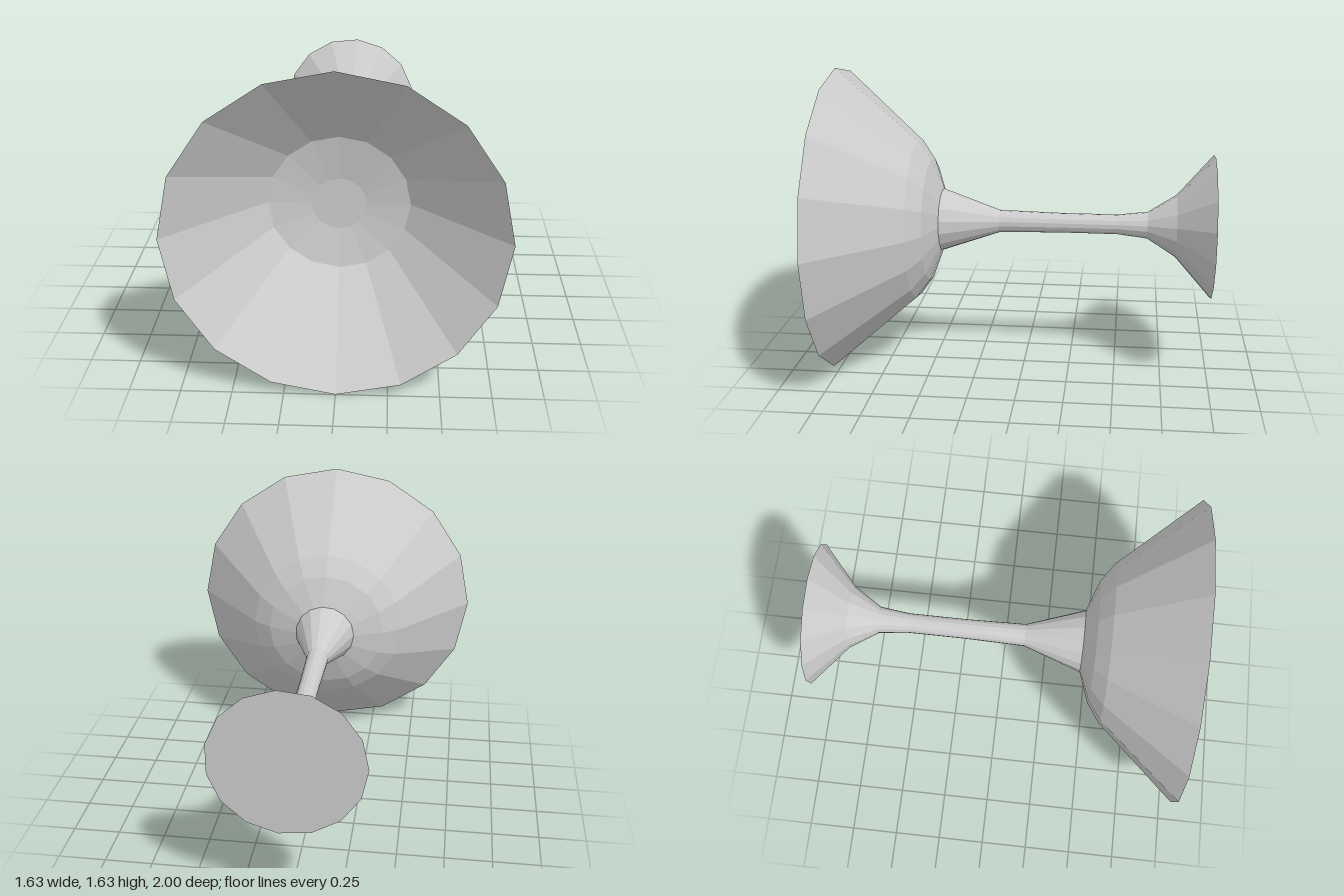
import * as THREE from 'three';

const AXIS_Y = 0.815;

// Turns a [radius, z] profile around the z axis
function turned(name, profile, sides, start, material) {
  const points = profile.map(([r, z]) => new THREE.Vector2(r, z));
  const geometry = new THREE.LatheGeometry(points, sides, start);
  geometry.rotateX(Math.PI / 2);
  const mesh = new THREE.Mesh(geometry, material);
  mesh.name = name;
  mesh.position.y = AXIS_Y;
  return mesh;
}

export function createModel() {
  const group = new THREE.Group();
  group.name = 'cocktailGlass';
  const material = new THREE.MeshStandardMaterial({ color: 0xcccccc, flatShading: true });

  // Bowl: outer wall up to a sharp rim, then back down the inside
  const bowl = turned('bowl', [
    [0, 0.44], [0.165, 0.44], [0.33, 0.5], [0.43, 0.57], [0.813, 1],
    [0.35, 0.57], [0.135, 0.53], [0, 0.53],
  ], 16, 0, material);

  // The small floor inside the bowl sits slightly off centre
  const p = bowl.geometry.attributes.position;
  for (let i = 0; i < p.count; i++) {
    if (p.getZ(i) > 0.51 && Math.hypot(p.getX(i), p.getY(i)) < 0.2) p.setY(i, p.getY(i) - 0.02);
  }

  // Stem flaring into the foot, closed at the base
  const stem = turned('stemAndFoot', [
    [0, -1], [0.383, -1], [0.167, -0.81], [0.072, -0.66], [0.053, -0.5],
    [0.053, -0.2], [0.06, 0.13], [0.168, 0.44], [0, 0.44],
  ], 15, -Math.PI / 2, material);

  group.add(bowl, stem);
  return group;
}
